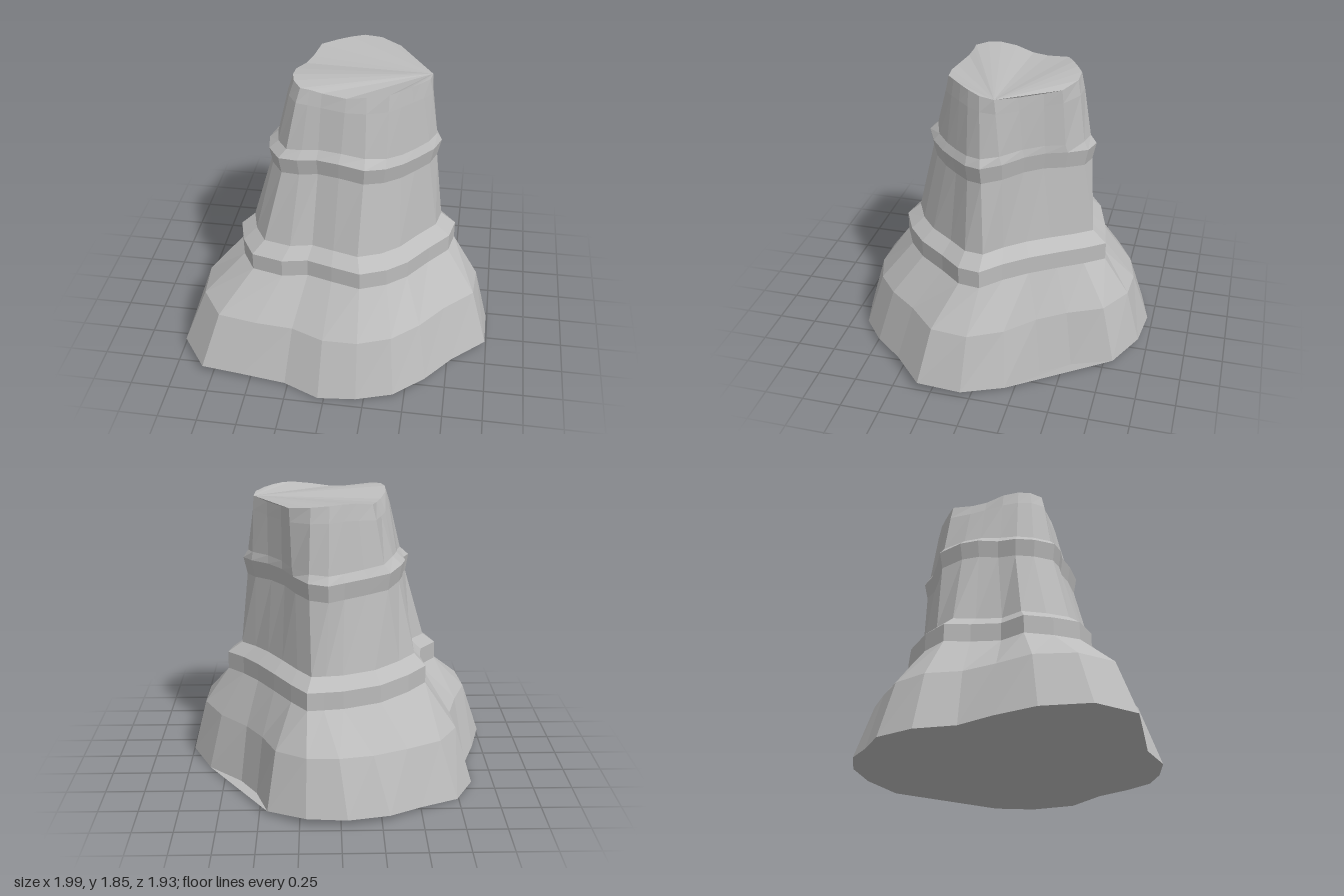
import * as THREE from 'three';

// Plan outlines as [x, z] corners, running from the left side round the front
const base = [
  [0.86, -0.19], [0.99, 0.06], [0.99, 0.34], [0.78, 0.54], [0.62, 0.73], [0.43, 0.88],
  [0.2, 0.94], [-0.04, 0.96], [-0.27, 0.87], [-0.55, 0.85], [-0.82, 0.83], [-0.99, 0.6],
  [-1, 0.3], [-0.93, 0.05], [-0.85, -0.16], [-0.86, -0.41], [-0.74, -0.64], [-0.5, -0.77],
  [-0.3, -0.9], [-0.04, -0.97], [0.21, -0.94], [0.45, -0.81], [0.53, -0.55], [0.64, -0.37],
];
const ledge = [
  [0.62, -0.12], [0.73, 0], [0.7, 0.14], [0.58, 0.28], [0.46, 0.45], [0.34, 0.56],
  [0.18, 0.64], [0, 0.6], [-0.16, 0.55], [-0.32, 0.57], [-0.52, 0.51], [-0.61, 0.36],
  [-0.66, 0.19], [-0.55, 0.04], [-0.53, -0.15], [-0.55, -0.31], [-0.43, -0.45], [-0.25, -0.58],
  [-0.02, -0.65], [0.1, -0.67], [0.2, -0.69], [0.3, -0.57], [0.41, -0.42], [0.52, -0.26],
];
const collar = [
  [0.55, -0.1], [0.61, 0.02], [0.57, 0.12], [0.48, 0.22], [0.4, 0.31], [0.3, 0.4],
  [0.18, 0.46], [0.02, 0.43], [-0.12, 0.39], [-0.24, 0.39], [-0.36, 0.36], [-0.44, 0.24],
  [-0.46, 0.12], [-0.42, 0], [-0.42, -0.13], [-0.39, -0.25], [-0.31, -0.4], [-0.17, -0.45],
  [-0.03, -0.51], [0.07, -0.58], [0.19, -0.55], [0.28, -0.44], [0.35, -0.32], [0.44, -0.21],
];
const summit = [
  [0.53, -0.05], [0.52, 0.04], [0.47, 0.12], [0.42, 0.18], [0.36, 0.24], [0.3, 0.29],
  [0.17, 0.31], [0.05, 0.31], [-0.1, 0.28], [-0.17, 0.27], [-0.23, 0.27], [-0.28, 0.2],
  [-0.3, 0.12], [-0.3, 0.02], [-0.26, -0.1], [-0.23, -0.2], [-0.2, -0.34], [-0.1, -0.39],
  [-0.02, -0.43], [0.06, -0.47], [0.17, -0.47], [0.3, -0.4], [0.35, -0.3], [0.44, -0.17],
];

// A ring blends two outlines, scales them and waves gently in height
function ring(y, wave, from, to = from, t = 0, scale = 1) {
  return from.map(([x, z], j) => {
    const px = (x + (to[j][0] - x) * t) * scale;
    const pz = (z + (to[j][1] - z) * t) * scale;
    return [px, y + wave * Math.sin(3 * Math.atan2(z, x)), pz];
  });
}

function facets(triangles) {
  const geometry = new THREE.BufferGeometry();
  geometry.setAttribute('position', new THREE.Float32BufferAttribute(triangles.flat(2), 3));
  geometry.computeVertexNormals();
  return geometry;
}

// Walls joining a stack of rings
function walls(rings) {
  const tris = [];
  for (let i = 0; i + 1 < rings.length; i++) {
    const lo = rings[i], hi = rings[i + 1];
    for (let j = 0; j < lo.length; j++) {
      const k = (j + 1) % lo.length;
      tris.push([lo[j], hi[j], lo[k]], [lo[k], hi[j], hi[k]]);
    }
  }
  return facets(tris);
}

// Cap fanned out from the first corner
function cap(points, up) {
  const tris = [];
  for (let j = 1; j + 1 < points.length; j++) {
    tris.push(up ? [points[0], points[j + 1], points[j]] : [points[0], points[j], points[j + 1]]);
  }
  return facets(tris);
}

export function createModel() {
  const group = new THREE.Group();
  const stone = new THREE.MeshStandardMaterial({ color: 0xbcbcbc, flatShading: true });
  stone.name = 'grey stone';

  const rings = [
    ring(0.025, 0.025, base),
    ring(0.39, 0.015, base, ledge, 0.36),
    ring(0.65, -0.015, ledge),
    ring(0.765, -0.015, ledge),
    ring(0.835, -0.015, ledge, ledge, 0, 0.87),
    ring(1.3, -0.02, collar, collar, 0, 0.96),
    ring(1.41, -0.02, collar),
    ring(1.46, -0.02, collar, summit, 0.35),
    ring(1.74, 0.01, collar, summit, 0.8),
    ring(1.83, 0.02, summit),
  ];

  const add = (name, geometry) => {
    const mesh = new THREE.Mesh(geometry, stone);
    mesh.name = name;
    group.add(mesh);
  };
  add('flaredFoot', walls(rings.slice(0, 3)));
  add('lowerLedge', walls(rings.slice(2, 5)));
  add('column', walls(rings.slice(4, 6)));
  add('upperCollar', walls(rings.slice(5, 8)));
  add('crown', walls(rings.slice(7)));
  add('topFace', cap(rings[9], true));
  add('underside', cap(rings[0], false));
  return group;
}
